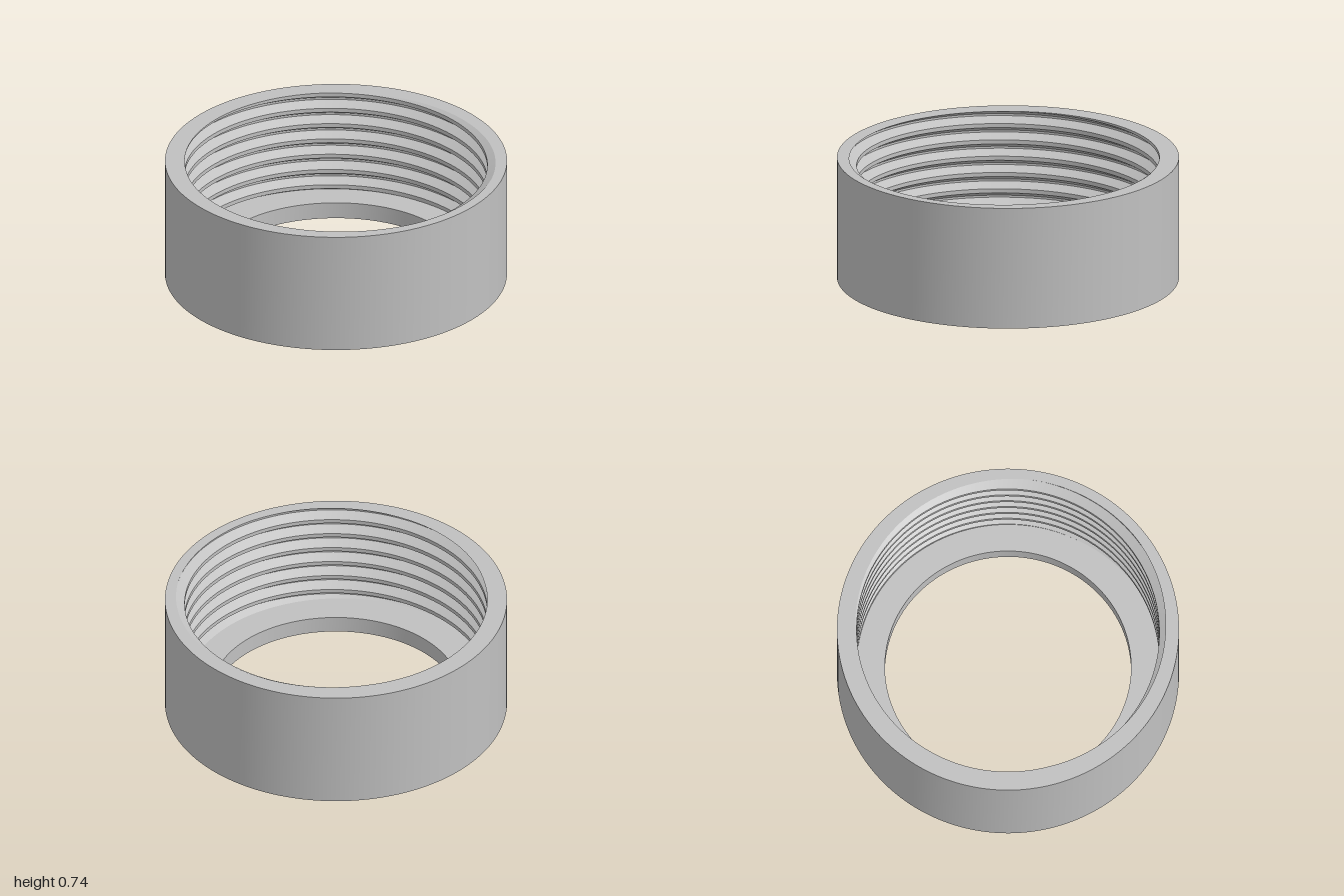
import * as THREE from 'three';
import { toCreasedNormals } from 'three/addons/utils/BufferGeometryUtils.js';

const SEGMENTS = 192;
const HEIGHT = 0.737, FLOOR = 0.1;
const OUTER = 1, BORE = 0.72, CREST = 0.885, ROOT = 0.94;
const PITCH = 0.1, TURNS = 9;

// Sweep a cross-section (list of [radius, y]) that may change with the angle
function sweep(section) {
  const columns = [];
  for (let i = 0; i <= SEGMENTS; i++) {
    const a = (i / SEGMENTS) * Math.PI * 2;
    columns.push(section(a).map(([r, y]) => new THREE.Vector3(r * Math.cos(a), y, -r * Math.sin(a))));
  }
  const pos = [];
  const tri = (p, q, s) => {
    const area = q.clone().sub(p).cross(s.clone().sub(p)).length();
    if (area > 1e-9) for (const v of [p, q, s]) pos.push(v.x, v.y, v.z);
  };
  for (let i = 0; i < SEGMENTS; i++) {
    for (let j = 0; j < columns[i].length - 1; j++) {
      const a = columns[i][j], b = columns[i + 1][j];
      const c = columns[i + 1][j + 1], d = columns[i][j + 1];
      tri(a, b, c);
      tri(a, c, d);
    }
  }
  const geometry = new THREE.BufferGeometry();
  geometry.setAttribute('position', new THREE.Float32BufferAttribute(pos, 3));
  return toCreasedNormals(geometry, Math.PI / 6);
}

// One pitch of the 60 degree thread, from the crest centre downwards
const PROFILE = [[0.125, CREST], [-0.125, CREST], [-0.4375, ROOT], [-0.5625, ROOT]];

// Thread line at an angle, top to bottom, cut off at the rim and the floor
function threadLine(angle) {
  const top = HEIGHT + PITCH * (angle / (Math.PI * 2) - 0.5) + PITCH;
  const raw = [];
  for (let k = 0; k < TURNS; k++)
    for (const [t, r] of PROFILE) raw.push([r, top + (t - k) * PITCH]);
  const radiusAt = (y) => {
    for (let i = 0; i < raw.length - 1; i++) {
      const [r0, y0] = raw[i], [r1, y1] = raw[i + 1];
      if (y <= y0 && y >= y1) return r0 + (r1 - r0) * (y0 - y) / (y0 - y1);
    }
    return CREST;
  };
  return raw.map(([r, y]) => {
    if (y > HEIGHT) return [radiusAt(HEIGHT), HEIGHT];
    if (y < FLOOR) return [radiusAt(FLOOR), FLOOR];
    return [r, y];
  });
}

export function createModel() {
  const model = new THREE.Group();
  model.name = 'threadedRing';
  const metal = new THREE.MeshStandardMaterial({ color: 0xc0c0c0 });
  metal.name = 'grey metal';

  const add = (name, section) => {
    const mesh = new THREE.Mesh(sweep(section), metal);
    mesh.name = name;
    model.add(mesh);
  };

  // Smooth outside wall
  add('outerWall', () => [[OUTER, 0], [OUTER, HEIGHT]]);
  // Flat top rim, its inner edge following the thread run-out
  add('topRim', (a) => [[OUTER, HEIGHT], threadLine(a)[0]]);
  // Helical right-hand thread
  add('innerThread', threadLine);
  // Flange at the bottom: seat, bore and underside
  add('bottomFlange', (a) => [threadLine(a).at(-1), [BORE, FLOOR], [BORE, 0], [OUTER, 0]]);

  return model;
}
